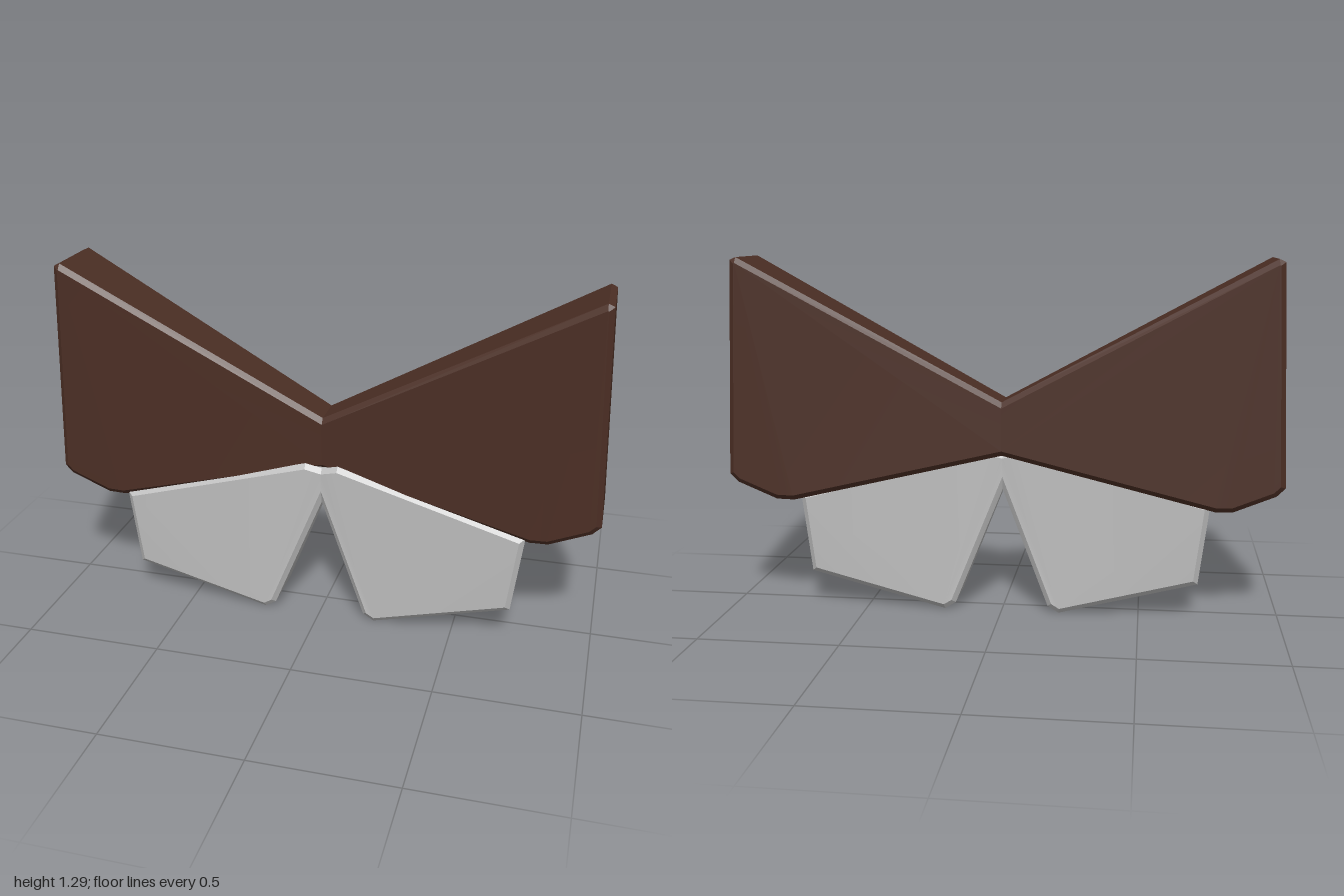
import * as THREE from 'three';
import { toCreasedNormals, mergeGeometries } from 'three/addons/utils/BufferGeometryUtils.js';

const INSET = 0.018, BEVEL = 0.015;

// Shrinks a convex counter-clockwise outline; the closing edge on x = 0 stays put.
function shrink(pts) {
  const n = pts.length;
  const lines = pts.map((p, i) => {
    const q = pts[(i + 1) % n];
    const len = Math.hypot(q[0] - p[0], q[1] - p[1]);
    const a = -(q[1] - p[1]) / len, b = (q[0] - p[0]) / len;
    return [a, b, a * p[0] + b * p[1] + (i === n - 1 ? 0 : INSET)];
  });
  return pts.map((p, i) => {
    const [a, b, c] = lines[(i + n - 1) % n], [d, e, f] = lines[i];
    const det = a * e - b * d;
    return [(c * e - b * f) / det, (a * f - c * d) / det];
  });
}

// Bevelled half slab. Points are [x, y, front z, back z]; the faces fan out from one corner.
function halfSlab(pts, fan, side, rimCrease) {
  const n = pts.length, inner = shrink(pts);
  const rings = [
    inner.map((p, i) => [p[0], p[1], pts[i][2]]),
    pts.map(p => [p[0], p[1], p[2] - BEVEL]),
    pts.map(p => [p[0], p[1], p[3] + BEVEL]),
    inner.map((p, i) => [p[0], p[1], pts[i][3]]),
  ];
  const verts = rings.flat().flatMap(([x, y, z]) => [x * side, y, z]);
  const rim = [], faces = [];
  const tri = (list, a, b, c) => (side > 0 ? list.push(a, b, c) : list.push(a, c, b));
  for (let r = 0; r < 3; r++) {
    for (let i = 0; i < n - 1; i++) {
      const a = r * n + i, list = r === 1 ? rim : faces;
      tri(list, a, a + n, a + 1);
      tri(list, a + 1, a + n, a + n + 1);
    }
  }
  for (let k = 1; k < n - 1; k++) {
    const i = (fan + k) % n, j = (fan + k + 1) % n;
    tri(faces, fan, i, j);
    tri(faces, 3 * n + fan, 3 * n + j, 3 * n + i);
  }
  const make = (index, crease) => {
    const g = new THREE.BufferGeometry();
    g.setAttribute('position', new THREE.Float32BufferAttribute(verts, 3));
    g.setIndex(index);
    const flat = g.toNonIndexed();
    flat.computeVertexNormals();
    return toCreasedNormals(flat, crease);
  };
  return mergeGeometries([make(rim, rimCrease), make(faces, 0.3)]);
}

export function createModel() {
  const group = new THREE.Group();
  const brown = new THREE.MeshStandardMaterial({ color: 0x4b2e24 });
  brown.name = 'dark brown';
  const grey = new THREE.MeshStandardMaterial({ color: 0xbababa });
  grey.name = 'light grey';

  // Flared upper wing, thin at the middle
  const wing = [
    [0, 0.58, 0.075, -0.08],
    [0.76, 0.408, 0.132, -0.134],
    [0.825, 0.41, 0.132, -0.134],
    [0.97, 0.47, 0.132, -0.134],
    [1, 0.5, 0.132, -0.134],
    [0.969, 1.277, 0.132, -0.134],
    [0.947, 1.287, 0.132, -0.134],
    [0, 0.775, 0.075, -0.08],
  ];
  // Lower flap, standing slightly proud of the wing at the front
  const flap = [
    [0, 0.45, 0.09, -0.05],
    [0.17, 0.025, 0.132, -0.088],
    [0.21, 0, 0.132, -0.088],
    [0.71, 0.128, 0.132, -0.088],
    [0.747, 0.42, 0.132, -0.088],
    [0.06, 0.6, 0.095, -0.054],
    [0, 0.585, 0.09, -0.05],
  ];

  for (const [side, label] of [[1, 'left'], [-1, 'right']]) {
    const upper = new THREE.Mesh(halfSlab(wing, 6, side, 0.5), brown);
    upper.name = label + 'Wing';
    const lower = new THREE.Mesh(halfSlab(flap, 2, side, 1.3), grey);
    lower.name = label + 'Flap';
    group.add(upper, lower);
  }
  return group;
}
